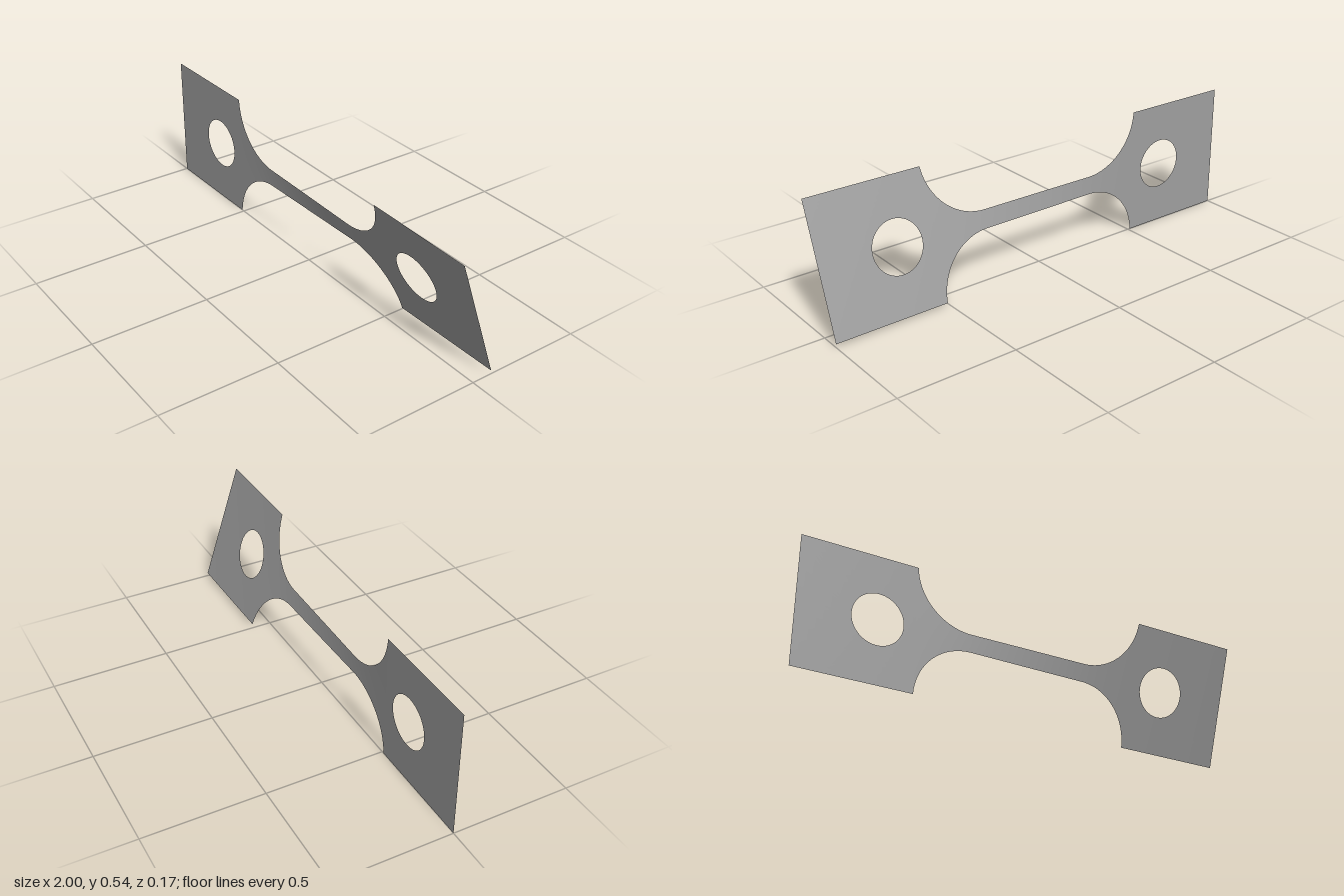
import * as THREE from 'three';

const HALF = 0.271;        // half height of the end tabs
const NECK = 0.0385;       // half height of the gauge strip
const RADIUS = 0.245;      // fillet radius
const FILLET = 0.265;      // x where the fillets begin
const TAB = 0.51;          // x where the tabs begin
const HOLE = { x: 0.67, r: 0.108 };
const TWIST = THREE.MathUtils.degToRad(18.8);

// Half height of the flat sheet at x
function halfHeight(x) {
  const d = Math.abs(x) - FILLET;
  if (d <= 0) return NECK;
  if (d >= TAB - FILLET) return HALF;
  return Math.min(HALF, NECK + RADIUS - Math.sqrt(Math.max(0, RADIUS ** 2 - d * d)));
}

// Torsion: the sheet turns faster where it is narrower; the left tab stays still
const STEPS = 600;
const turn = [0];
for (let i = 0; i < STEPS; i++) {
  const x = -TAB + (i + 0.5) / STEPS * (1 + TAB);
  turn.push(turn[i] + 1 / halfHeight(x));
}
function angleAt(x) {
  const t = THREE.MathUtils.clamp((x + TAB) / (1 + TAB), 0, 1) * STEPS;
  const i = Math.min(STEPS - 1, Math.floor(t));
  return TWIST * THREE.MathUtils.lerp(turn[i], turn[i + 1], t - i) / turn[STEPS];
}

// Grid of sheet points (x, h), twisted about the long axis
function sheet(name, nu, nv, point, material) {
  const positions = [], index = [];
  for (let i = 0; i <= nu; i++) {
    for (let j = 0; j <= nv; j++) {
      const [x, h] = point(i, j);
      const a = angleAt(x);
      positions.push(x, HALF + h * Math.cos(a), h * Math.sin(a));
      if (i < nu && j < nv) {
        const p = i * (nv + 1) + j, q = p + nv + 1;
        index.push(p, q, q + 1, p, q + 1, p + 1);
      }
    }
  }
  const geometry = new THREE.BufferGeometry();
  geometry.setAttribute('position', new THREE.Float32BufferAttribute(positions, 3));
  geometry.setIndex(index);
  geometry.computeVertexNormals();
  const mesh = new THREE.Mesh(geometry, material);
  mesh.name = name;
  return mesh;
}

// Rectangular tab with a round hole, lofted from the hole to the outer edge
function tab(name, side, material) {
  const corners = [[1, -HALF], [1, HALF], [TAB, HALF], [TAB, -HALF]];
  const perSide = 20, rings = 8;
  return sheet(name, perSide * 4, rings, (i, j) => {
    const k = Math.floor(i / perSide) % 4, f = (i % perSide) / perSide;
    const a = corners[k], b = corners[(k + 1) % 4];
    const ex = THREE.MathUtils.lerp(a[0], b[0], f);
    const eh = THREE.MathUtils.lerp(a[1], b[1], f);
    const ang = Math.atan2(eh, ex - HOLE.x);
    const t = 1 - j / rings;
    const x = THREE.MathUtils.lerp(HOLE.x + HOLE.r * Math.cos(ang), ex, t);
    const h = THREE.MathUtils.lerp(HOLE.r * Math.sin(ang), eh, t);
    // Half turn for the left tab keeps the winding the same
    return [side * x, side * h];
  }, material);
}

export function createModel() {
  const group = new THREE.Group();
  group.name = 'twistedTensileStrip';
  const grey = new THREE.MeshStandardMaterial({ color: 0xa0a0a0, side: THREE.DoubleSide });
  grey.name = 'grey';

  group.add(tab('leftTab', 1, grey), tab('rightTab', -1, grey));

  // Straight gauge strip
  group.add(sheet('gaugeStrip', 40, 4, (i, j) =>
    [FILLET * (i / 20 - 1), NECK * (j / 2 - 1)], grey));

  // Flared necks, with closer columns near the steep end
  for (const side of [-1, 1]) {
    const n = 32;
    group.add(sheet(side > 0 ? 'leftNeck' : 'rightNeck', n, 8, (i, j) => {
      const d = (TAB - FILLET) * Math.sin(i / n * Math.PI / 2);
      const x = side * (FILLET + d);
      return [x, side * halfHeight(x) * (j / 4 - 1)];
    }, grey));
  }
  return group;
}
